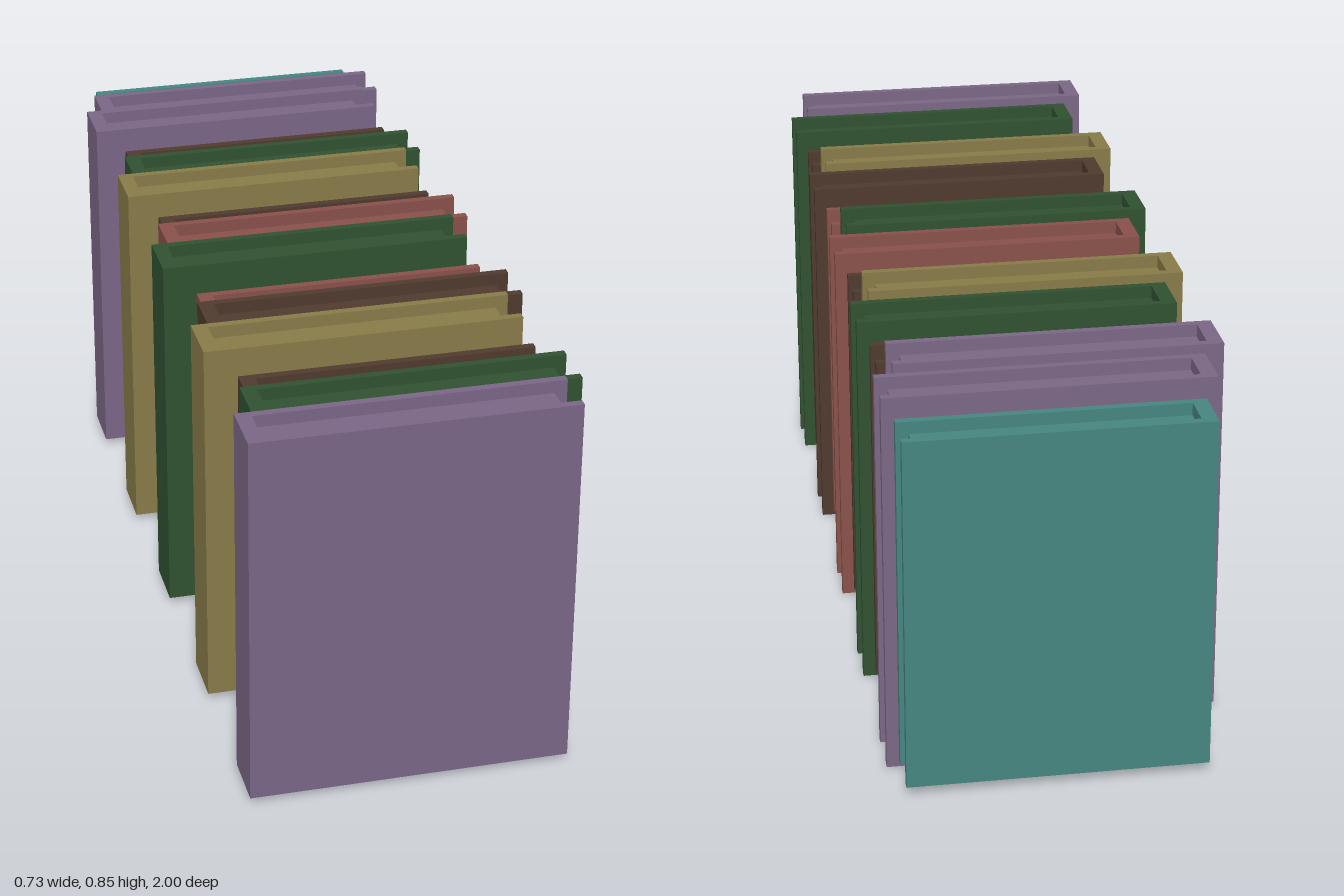
import * as THREE from 'three';

// Three book formats: spine side x, fore edge x, bottom, top, thickness
const FORMATS = {
  large: { x0: -0.365, x1: 0.32, y0: 0.017, y1: 0.853, t: 0.126 },
  medium: { x0: -0.323, x1: 0.362, y0: 0.002, y1: 0.839, t: 0.123 },
  small: { x0: -0.298, x1: 0.337, y0: 0.023, y1: 0.798, t: 0.115 },
};
const COLORS = {
  purple: 0x7a6685, green: 0x2f5130, brown: 0x4f3a2e,
  olive: 0x877a48, red: 0x88504a, teal: 0x46857f,
};
// Books from front to back: format, colour, centre z
const BOOKS = [
  ['large', 'purple', 0.932], ['medium', 'green', 0.796], ['small', 'brown', 0.667],
  ['large', 'olive', 0.526], ['medium', 'brown', 0.391], ['small', 'red', 0.263],
  ['large', 'green', 0.113], ['medium', 'red', -0.024], ['small', 'brown', -0.152],
  ['large', 'olive', -0.282], ['medium', 'green', -0.418], ['small', 'brown', -0.547],
  ['large', 'purple', -0.676], ['medium', 'purple', -0.811], ['small', 'teal', -0.938],
];
const COVER = 0.018, SPINE = 0.033, INSET = 0.027, LEAN = 0.012;

function makeBook({ x0, x1, y0, y1, t }, color) {
  const material = new THREE.MeshStandardMaterial({ color, flatShading: true });
  const book = new THREE.Group();
  const h = y1 - y0, half = t / 2, inner = half - COVER;

  // Cover: both boards and the spine as one U-shaped section
  const section = new THREE.Shape([
    [x0, -half], [x1, -half], [x1, -inner], [x0 + SPINE, -inner],
    [x0 + SPINE, inner], [x1, inner], [x1, half], [x0, half],
  ].map(([x, y]) => new THREE.Vector2(x, y)));
  const coverGeometry = new THREE.ExtrudeGeometry(section, { depth: h, bevelEnabled: false });
  coverGeometry.rotateX(-Math.PI / 2).translate(0, -h / 2, 0);
  const cover = new THREE.Mesh(coverGeometry, material);
  cover.name = 'cover';

  // Page block, recessed on three sides
  const px0 = x0 + SPINE, px1 = x1 - INSET;
  const pages = new THREE.Mesh(
    new THREE.BoxGeometry(px1 - px0, h - 2 * INSET, inner * 2), material);
  pages.position.x = (px0 + px1) / 2;
  pages.name = 'pages';

  book.add(cover, pages);
  book.position.y = (y0 + y1) / 2;
  book.rotation.x = LEAN;
  return book;
}

export function createModel() {
  const row = new THREE.Group();
  row.name = 'bookRow';
  BOOKS.forEach(([format, color, z], i) => {
    const book = makeBook(FORMATS[format], COLORS[color]);
    book.position.z = z;
    book.name = `${color}Book${i + 1}`;
    row.add(book);
  });
  return row;
}
